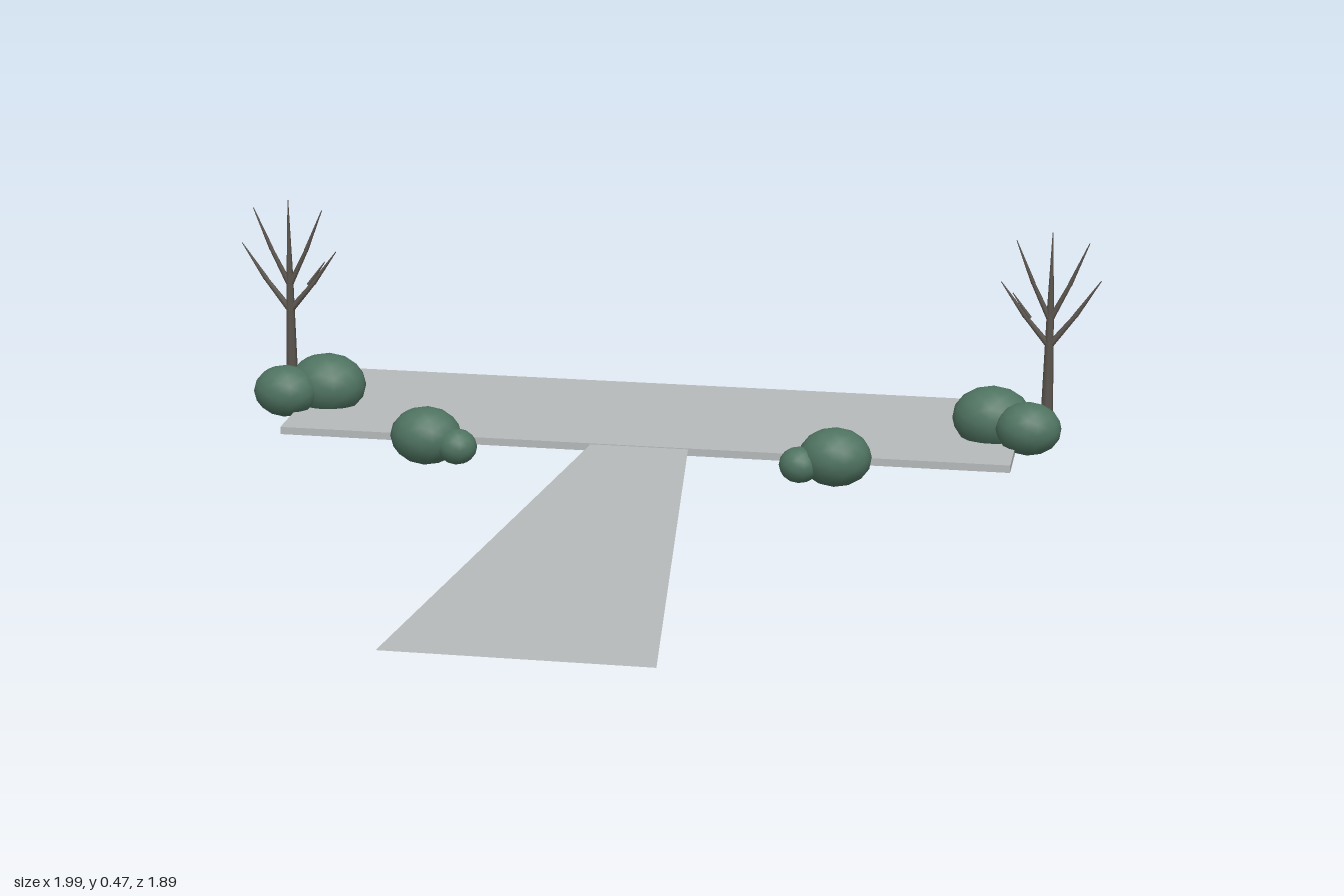
import * as THREE from 'three';

export function createModel() {
  const model = new THREE.Group();
  const mat = (name, color, opts = {}) => {
    const m = new THREE.MeshStandardMaterial({ color, ...opts });
    m.name = name;
    return m;
  };
  const paving = mat('pale paving', 0xb6baba, { side: THREE.DoubleSide });
  const foliage = mat('bush green', 0x4f7361);
  const bark = mat('grey bark', 0x5c554f);

  const add = (parent, name, geometry, material) => {
    const mesh = new THREE.Mesh(geometry, material);
    mesh.name = name;
    parent.add(mesh);
    return mesh;
  };

  // Paved slab at the back
  add(model, 'terraceSlab', new THREE.BoxGeometry(1.65, 0.017, 0.503), paving)
    .position.set(0, 0.0205, -0.694);

  // Flat path widening towards the front
  const outline = new THREE.Shape([
    new THREE.Vector2(-0.27, -0.94), new THREE.Vector2(0.27, -0.94),
    new THREE.Vector2(0.11, 0.444), new THREE.Vector2(-0.11, 0.444),
  ]);
  const path = add(model, 'path', new THREE.ShapeGeometry(outline), paving);
  path.rotation.x = -Math.PI / 2;
  path.position.y = 0.027;

  // Tapered round limb between two points
  const up = new THREE.Vector3(0, 1, 0);
  const limb = (parent, name, from, to, r0, r1) => {
    const a = new THREE.Vector3(...from);
    const dir = new THREE.Vector3(...to).sub(a);
    const mesh = add(parent, name, new THREE.CylinderGeometry(r1, r0, dir.length(), 7), bark);
    mesh.position.copy(a).addScaledVector(dir, 0.5);
    mesh.quaternion.setFromUnitVectors(up, dir.normalize());
  };

  // Bushes: x, y, z, width radius, height/depth radius
  const bushes = [
    [0.767, 0.074, -0.653, 0.090, 0.072],
    [0.852, 0.069, -0.597, 0.074, 0.060],
    [0.455, 0.070, -0.306, 0.080, 0.065],
    [0.380, 0.056, -0.281, 0.045, 0.040],
  ];
  // Branches of a bare tree, +x outwards: start height, tip x, tip height, radius
  const branches = [
    [0.215, 0.112, 0.372, 0.008],
    [0.275, 0.083, 0.457, 0.007],
    [0.275, -0.080, 0.457, 0.007],
    [0.215, -0.112, 0.360, 0.008],
  ];

  for (const side of [1, -1]) {
    const label = side > 0 ? 'left' : 'right';
    bushes.forEach(([x, y, z, rx, r], i) => {
      const bush = add(model, `${label}Bush${i + 1}`, new THREE.IcosahedronGeometry(1, 2), foliage);
      bush.scale.set(rx, r, r);
      bush.position.set(side * x, y, z);
    });

    const tree = new THREE.Group();
    tree.name = `${label}Tree`;
    tree.position.set(side * 0.882, 0, -0.766);
    limb(tree, 'trunk', [0, 0.02, 0], [0, 0.30, 0], 0.015, 0.008);
    limb(tree, 'leader', [0, 0.30, 0], [0, 0.478, 0], 0.008, 0.001);
    for (const [y0, x, y1, r] of branches) {
      const mid = [side * x * 0.5, y0 + (y1 - y0) * 0.46, 0];
      limb(tree, 'branch', [0, y0, 0], mid, r, r * 0.65);
      limb(tree, 'twig', mid, [side * x, y1, 0], r * 0.75, 0.001);
    }
    // Small side shoot on the inner low branch
    limb(tree, 'shoot', [-side * 0.045, 0.278, 0], [-side * 0.085, 0.335, 0], 0.005, 0.001);
    model.add(tree);
  }
  return model;
}
